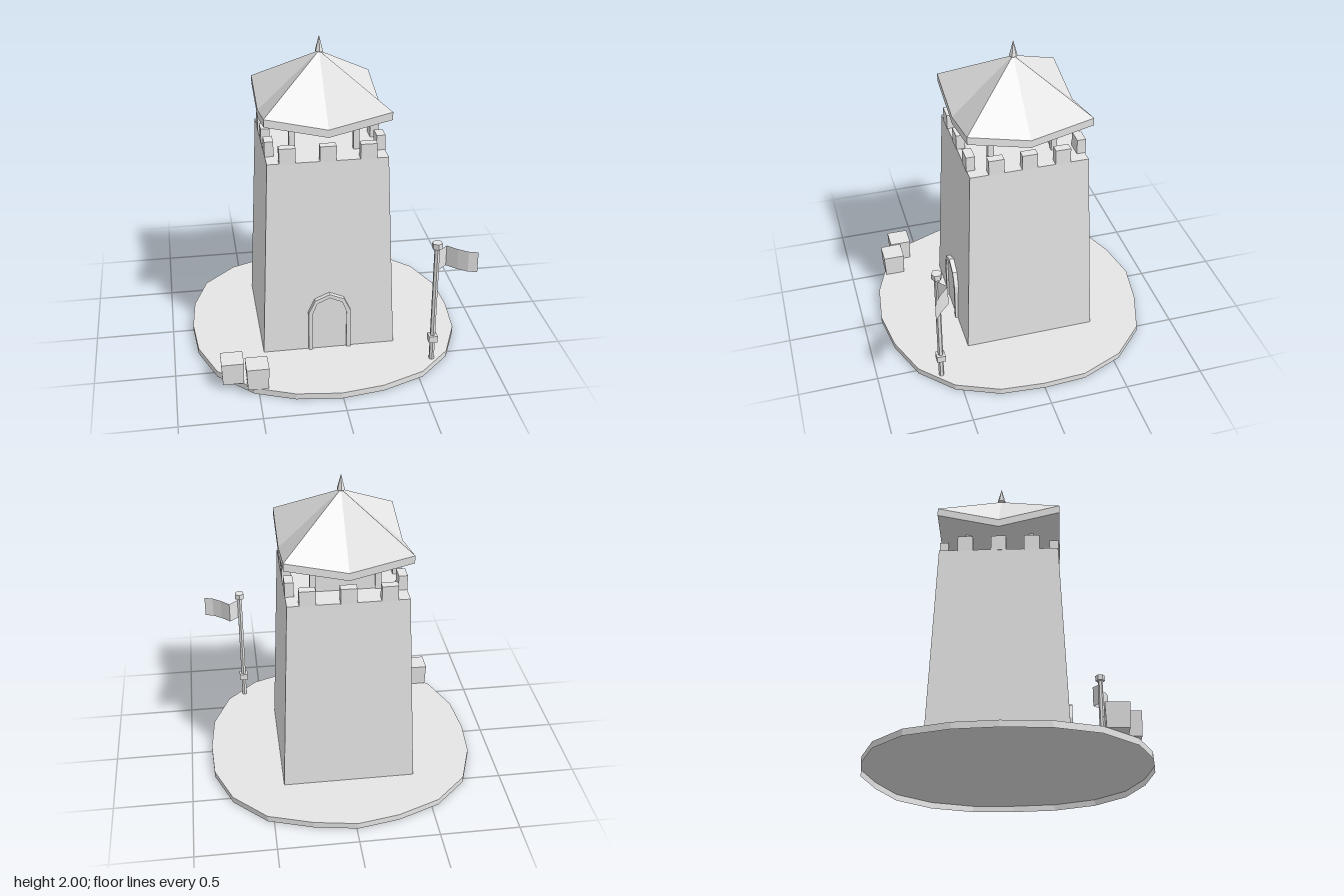
import * as THREE from 'three';

const stone = new THREE.MeshStandardMaterial({ color: 0xe5e5e5, flatShading: true, side: THREE.DoubleSide });
stone.name = 'pale grey';

function part(parent, name, geometry, x = 0, y = 0, z = 0) {
  const mesh = new THREE.Mesh(geometry, stone);
  mesh.name = name;
  mesh.position.set(x, y, z);
  parent.add(mesh);
  return mesh;
}

function fromTriangles(points) {
  const g = new THREE.BufferGeometry();
  g.setAttribute('position', new THREE.Float32BufferAttribute(points, 3));
  g.computeVertexNormals();
  return g;
}

// Square block standing on y = 0, with its own half width at top and bottom
function taperedBlock(top, bottom, height) {
  return new THREE.CylinderGeometry(top * Math.SQRT2, bottom * Math.SQRT2, height, 4)
    .rotateY(Math.PI / 4).translate(0, height / 2, 0);
}

// Flat top and rim of the ground, open underneath
function slabGeometry(outline, height) {
  const points = [];
  outline.forEach(([ax, az], i) => {
    const [bx, bz] = outline[(i + 1) % outline.length];
    points.push(0, height, 0, bx, height, bz, ax, height, az);
    points.push(ax, height, az, bx, height, bz, bx, 0, bz);
    points.push(ax, height, az, bx, 0, bz, ax, 0, az);
  });
  // the outline runs clockwise from above, so turn each triangle to face outward
  for (let i = 0; i < points.length; i += 9) {
    const b = points.slice(i + 3, i + 6), c = points.slice(i + 6, i + 9);
    const p = new THREE.Vector3(...points.slice(i, i + 3));
    const n = new THREE.Vector3(...b).sub(p).cross(new THREE.Vector3(...c).sub(p));
    const outward = new THREE.Vector3(b[0] + c[0], 0.5, b[2] + c[2]);
    if (n.dot(outward) < 0) points.splice(i + 3, 6, ...c, ...b);
  }
  return fromTriangles(points);
}

// Eight-faced roof on a square plan, eaves dipping at the middle of each side
function roofGeometry(half, cornerY, midY, thickness, apexY, undersideY) {
  const ring = [[1, 1], [1, 0], [1, -1], [0, -1], [-1, -1], [-1, 0], [-1, 1], [0, 1]];
  const points = [];
  const apex = [0, apexY, 0], under = [0, undersideY, 0];
  const at = (i, drop) => {
    const [x, z] = ring[i % 8];
    return [x * half, (i % 2 ? midY : cornerY) - drop, z * half];
  };
  for (let i = 0; i < 8; i++) {
    const a = at(i, 0), b = at(i + 1, 0), c = at(i, thickness), d = at(i + 1, thickness);
    points.push(...a, ...b, ...apex, ...c, ...d, ...b, ...c, ...b, ...a, ...d, ...c, ...under);
  }
  return fromTriangles(points);
}

// Pointed arch outline: half width, spring height, shoulder and crown
function archPoints(w, spring, shoulderX, shoulderY, crown) {
  return [[-w, 0], [w, 0], [w, spring], [shoulderX, shoulderY], [0, crown],
    [-shoulderX, shoulderY], [-w, spring]].map(([x, y]) => new THREE.Vector2(x, y));
}

export function createModel() {
  const model = new THREE.Group();
  model.name = 'watchtower';

  // Uneven round ground slab
  const outline = [
    [-0.01, -0.883], [0.26, -0.838], [0.54, -0.745], [0.745, -0.54], [0.853, -0.27],
    [0.865, 0], [0.84, 0.28], [0.727, 0.545], [0.527, 0.739], [0.26, 0.842],
    [-0.01, 0.881], [-0.285, 0.847], [-0.53, 0.752], [-0.742, 0.545], [-0.845, 0.28],
    [-0.867, 0], [-0.845, -0.26], [-0.75, -0.53], [-0.545, -0.727], [-0.275, -0.835]];
  part(model, 'groundSlab', slabGeometry(outline, 0.04));

  // Tower body
  const tower = new THREE.Group();
  tower.name = 'tower';
  tower.position.set(-0.01, 0, -0.038);
  model.add(tower);
  part(tower, 'towerWalls', taperedBlock(0.37, 0.422, 1.293), 0, 0.04, 0);

  // Battlements, three on each side
  for (const side of [-1, 1]) {
    for (const step of [-1, 0, 1]) {
      part(tower, 'merlon', new THREE.BoxGeometry(0.1, 0.1, 0.055), step * 0.247, 1.379, side * 0.346);
      part(tower, 'merlon', new THREE.BoxGeometry(0.055, 0.1, 0.095), side * 0.344, 1.379, step * 0.207);
    }
  }

  // Roof posts and the panel between the back pair
  for (const x of [-0.199, 0.199])
    for (const z of [-0.199, 0.199])
      part(tower, 'roofPost', new THREE.BoxGeometry(0.037, 0.2, 0.037), x, 1.43, z);
  part(tower, 'backPanel', new THREE.BoxGeometry(0.38, 0.17, 0.02), 0, 1.415, -0.199);

  // Roof and finial
  part(tower, 'roof', roofGeometry(0.384, 1.628, 1.538, 0.049, 1.902, 1.465));
  part(tower, 'finial', new THREE.ConeGeometry(0.027, 0.1, 6), 0, 1.95, 0);

  // Arched doorway, the door set back inside its frame
  const opening = archPoints(0.109, 0.265, 0.08, 0.338, 0.375);
  const frame = new THREE.Shape(archPoints(0.135, 0.27, 0.093, 0.36, 0.4));
  frame.holes.push(new THREE.Path(opening));
  part(model, 'doorFrame', new THREE.ExtrudeGeometry(frame, { depth: 0.06, bevelEnabled: false }),
    -0.008, 0.04, 0.339);
  part(model, 'door', new THREE.ExtrudeGeometry(new THREE.Shape(opening), { depth: 0.05, bevelEnabled: false }),
    -0.008, 0.04, 0.336);

  // Flagpole with collar, cap and folded flag
  const flagpole = new THREE.Group();
  flagpole.name = 'flagpole';
  flagpole.position.set(0.612, 0, 0.608);
  model.add(flagpole);
  part(flagpole, 'pole', new THREE.CylinderGeometry(0.017, 0.017, 0.81, 6), 0, 0.445, 0);
  part(flagpole, 'collar', new THREE.BoxGeometry(0.055, 0.045, 0.055), 0, 0.195, 0);
  part(flagpole, 'poleCap', new THREE.CylinderGeometry(0.033, 0.033, 0.037, 6), 0, 0.857, 0);
  const folds = [[0.014, 0], [0.073, -0.05], [0.13, 0.005], [0.185, 0.045], [0.24, 0.062]];
  const flag = new THREE.PlaneGeometry(1, 0.137, 4, 1);
  const p = flag.attributes.position;
  for (let i = 0; i < p.count; i++) {
    const [x, z] = folds[i % 5];
    p.setXYZ(i, x, p.getY(i), z);
  }
  flag.computeVertexNormals();
  part(flagpole, 'flag', flag, 0, 0.753, 0);

  // Two crates at the edge of the slab
  for (const [x, z] of [[-0.652, 0.63], [-0.505, 0.704]])
    part(model, 'crate', taperedBlock(0.069, 0.063, 0.146), x, 0.04, z);

  return model;
}
